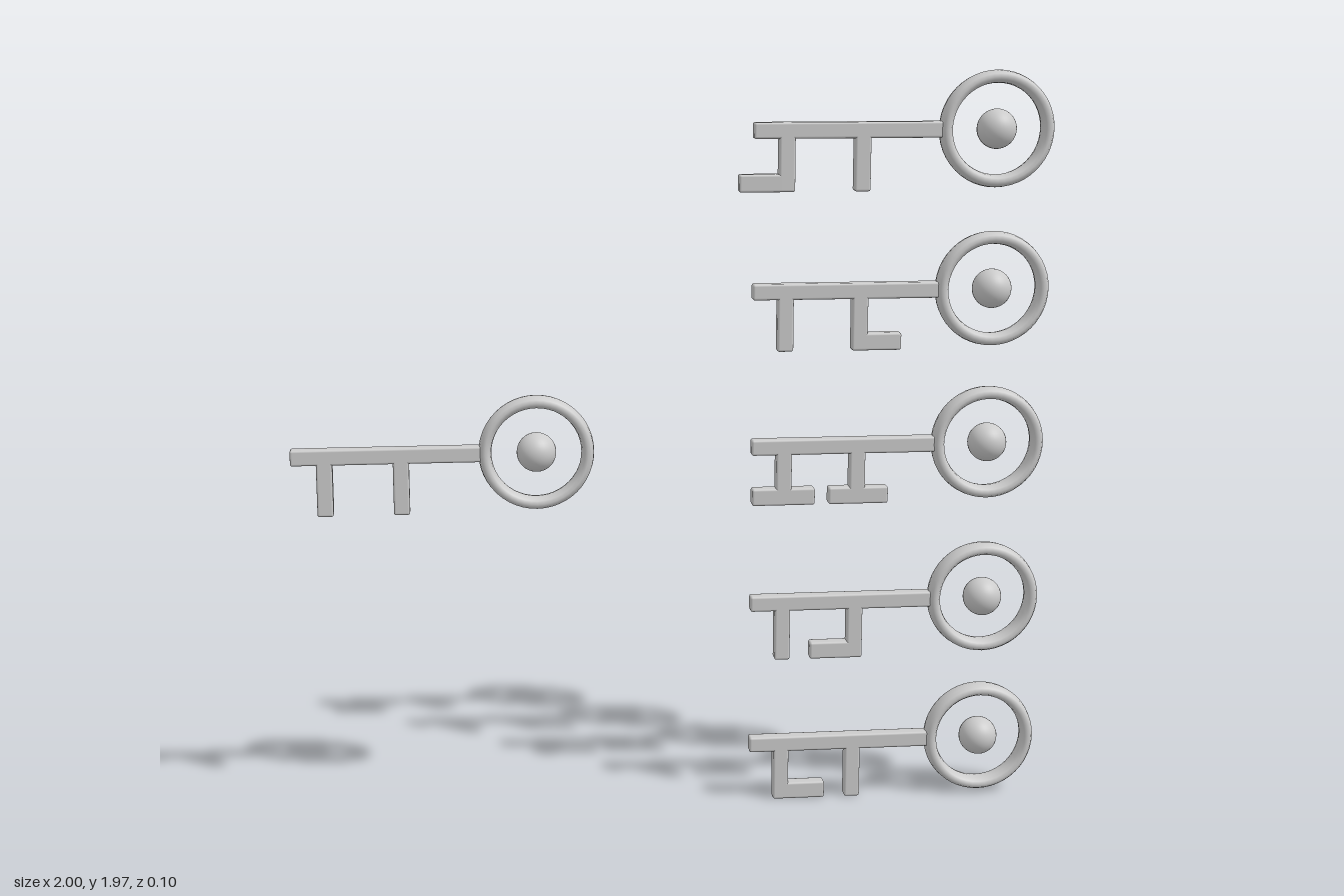
import * as THREE from 'three';
import { RoundedBoxGeometry } from 'three/addons/geometries/RoundedBoxGeometry.js';

const material = new THREE.MeshStandardMaterial({ color: 0xcccccc });
const DEPTH = 0.038;
const TOOTH_X = [-0.552, -0.354]; // tooth centres, measured from the ring centre
const TOOTH_BOTTOM = -0.158;

function addMesh(parent, name, geometry, x = 0, y = 0) {
  const mesh = new THREE.Mesh(geometry, material);
  mesh.name = name;
  mesh.position.set(x, y, 0);
  parent.add(mesh);
  return mesh;
}

// Softly bevelled bar given by its extents
function addBar(parent, name, x0, x1, y0, y1) {
  const geometry = new RoundedBoxGeometry(x1 - x0, y1 - y0, DEPTH, 2, 0.006);
  addMesh(parent, name, geometry, (x0 + x1) / 2, (y0 + y1) / 2);
}

// One key; feet are [start, end] spans along x at the bottom of the teeth
function createKey(name, x, y, feet) {
  const key = new THREE.Group();
  key.name = name;
  key.position.set(x, y, 0);

  // Bow: ring of oval section with a loose ball at its centre
  const ring = addMesh(key, 'ring', new THREE.TorusGeometry(0.135, 0.017, 12, 48));
  ring.scale.z = 1.9;
  addMesh(key, 'ball', new THREE.SphereGeometry(0.052, 32, 20));

  // Shaft, teeth and feet
  addBar(key, 'shaft', -0.639, -0.13, -0.021, 0.021);
  for (const tx of TOOTH_X) addBar(key, 'tooth', tx - 0.021, tx + 0.021, TOOTH_BOTTOM, 0);
  for (const [x0, x1] of feet) addBar(key, 'foot', x0, x1, TOOTH_BOTTOM, TOOTH_BOTTOM + 0.046);
  return key;
}

export function createModel() {
  const model = new THREE.Group();
  model.name = 'keySet';

  // Plain key on one side, column of five cut keys on the other
  model.add(createKey('plainKey', -0.361, 0.987, []));
  const column = [
    [0.158, [[-0.573, -0.431]]],
    [0.557, [[-0.476, -0.333]]],
    [0.987, [[-0.637, -0.468], [-0.431, -0.27]]],
    [1.402, [[-0.375, -0.243]]],
    [1.82, [[-0.677, -0.531]]],
  ];
  column.forEach(([y, feet], i) => model.add(createKey(`cutKey${i + 1}`, 0.847, y, feet)));
  return model;
}
